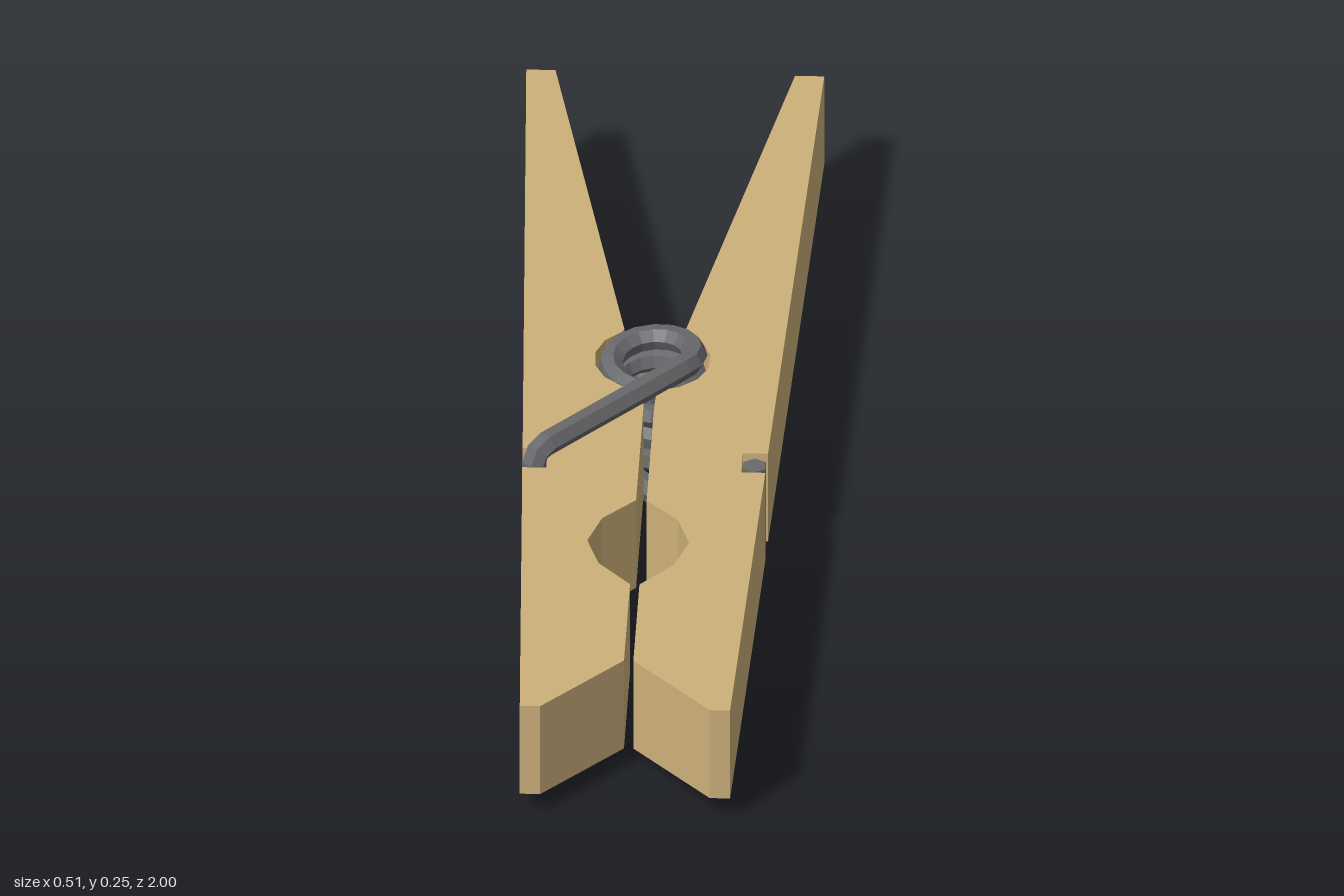
import * as THREE from 'three';

const wood = new THREE.MeshStandardMaterial({ color: 0xcdb07a, flatShading: true });
wood.name = 'wood';
const steel = new THREE.MeshStandardMaterial({ color: 0x68696c, flatShading: true });
steel.name = 'steel';

const BOTTOM = 0.038, TOP = 0.217; // wood faces
const COIL_Z = -0.1, COIL_R = 0.072, WIRE_R = 0.022;
const ARM_LOW = 0.021, ARM_HIGH = 0.232;

// One wooden half: outline in x/z, extruded upwards; side is +1 or -1
function woodHalf(side) {
  const pts = [[0.255, -1], [0.205, -1], [0.052, -0.19]];
  // pocket for the coil
  for (let i = 0; i <= 6; i++) {
    const a = -0.98 + i * (0.98 + 1.46) / 6;
    pts.push([0.1 * Math.cos(a), COIL_Z + 0.1 * Math.sin(a)]);
  }
  pts.push(
    [0.009, 0.06], [0.009, 0.345],
    [0.065, 0.405], [0.087, 0.475], [0.065, 0.545], [0.008, 0.61], // clothes-line hole
    [0.008, 0.85], [0.145, 1], [0.18, 1],                          // jaw
    [0.208, 0.25], [0.167, 0.25], [0.167, 0.19], [0.21, 0.19],     // wire notch
  );
  const shape = new THREE.Shape(pts.map(([x, z]) => new THREE.Vector2(side * x, z)));
  const geo = new THREE.ExtrudeGeometry(shape, { depth: TOP - BOTTOM, bevelEnabled: false });
  geo.rotateX(Math.PI / 2).translate(0, TOP, 0);
  return new THREE.Mesh(geo, wood);
}

// Curve that visits each point of a polyline at equal parameter steps
class Polyline extends THREE.Curve {
  constructor(points) { super(); this.points = points; }
  getPoint(t, target = new THREE.Vector3()) {
    const n = this.points.length - 1;
    const i = Math.min(Math.floor(t * n), n - 1);
    return target.lerpVectors(this.points[i], this.points[i + 1], t * n - i);
  }
  getPointAt(u, target) { return this.getPoint(u, target); }
  getTangentAt(u, target) { return this.getTangent(u, target); }
}

// Flat cap over one ring of a tube
function ringCap(tube, ring, sides, flip) {
  const src = tube.attributes.position, pos = [], index = [];
  for (let i = 0; i < sides; i++) {
    const k = ring * (sides + 1) + i;
    pos.push(src.getX(k), src.getY(k), src.getZ(k));
    if (i > 1) index.push(0, flip ? i : i - 1, flip ? i - 1 : i);
  }
  const geo = new THREE.BufferGeometry();
  geo.setAttribute('position', new THREE.Float32BufferAttribute(pos, 3));
  geo.setIndex(index);
  geo.computeVertexNormals();
  const capMaterial = steel;
  return new THREE.Mesh(geo, capMaterial);
}

function spring() {
  const group = new THREE.Group();
  group.name = 'spring';
  const V = (x, y, z) => new THREE.Vector3(x, y, z);
  // lower arm: hooked up into the left notch
  const path = [
    V(0.188, 0.212, 0.22), V(0.188, 0.042, 0.22), V(0.183, 0.028, 0.215), V(0.17, ARM_LOW, 0.2),
  ];
  // coil from the lower arm to the upper one
  const start = Math.PI * 0.75, sweep = Math.PI * 9.5, steps = 76;
  for (let i = 0; i <= steps; i++) {
    const a = start + sweep * i / steps;
    path.push(V(COIL_R * Math.cos(a), ARM_LOW + (ARM_HIGH - ARM_LOW) * i / steps, COIL_Z + COIL_R * Math.sin(a)));
  }
  // upper arm: hooked down into the right notch
  path.push(
    V(-0.17, ARM_HIGH, 0.2), V(-0.183, 0.225, 0.215), V(-0.188, 0.211, 0.22), V(-0.188, 0.042, 0.22),
  );
  const sides = 6, segments = path.length - 1;
  const tube = new THREE.TubeGeometry(new Polyline(path), segments, WIRE_R, sides, false);
  const wire = new THREE.Mesh(tube, steel);
  wire.name = 'springWire';
  const capA = ringCap(tube, 0, sides, false);
  const capB = ringCap(tube, segments, sides, true);
  // turn each cap outwards
  for (const [cap, up] of [[capA, 1], [capB, -1]]) {
    cap.name = 'wireEnd';
    if (cap.geometry.attributes.normal.getY(0) * up < 0) {
      cap.geometry.index.array.reverse();
      cap.geometry.computeVertexNormals();
    }
  }
  group.add(wire, capA, capB);
  return group;
}

export function createModel() {
  const model = new THREE.Group();
  model.name = 'clothespin';
  for (const side of [1, -1]) {
    const half = woodHalf(side);
    half.name = side > 0 ? 'leftHalf' : 'rightHalf';
    model.add(half);
  }
  model.add(spring());
  return model;
}
